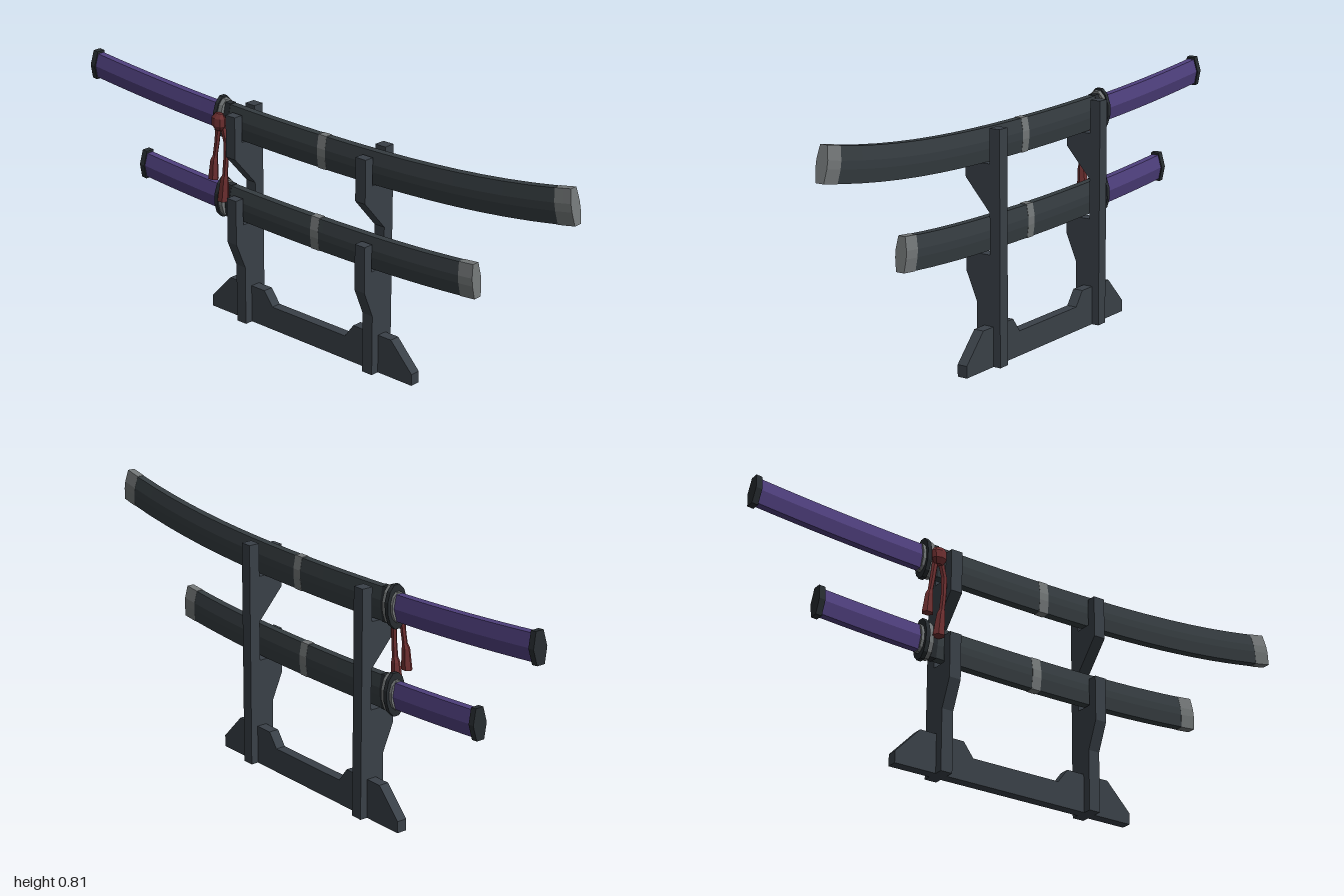
import * as THREE from 'three';

const mat = (name, color, flat = true) => {
  const m = new THREE.MeshStandardMaterial({ color, flatShading: flat });
  m.name = name;
  return m;
};

// Skin a list of equal-length rings of points and close both ends
function loft(rings) {
  const pos = [];
  const tri = (...p) => p.forEach((v) => pos.push(v.x, v.y, v.z));
  const n = rings[0].length, last = rings[rings.length - 1];
  for (let i = 0; i < rings.length - 1; i++) {
    for (let j = 0; j < n; j++) {
      const k = (j + 1) % n;
      tri(rings[i][j], rings[i][k], rings[i + 1][k]);
      tri(rings[i][j], rings[i + 1][k], rings[i + 1][j]);
    }
  }
  for (let j = 1; j < n - 1; j++) {
    tri(last[0], last[j], last[j + 1]);
    tri(rings[0][0], rings[0][j + 1], rings[0][j]);
  }
  const g = new THREE.BufferGeometry();
  g.setAttribute('position', new THREE.Float32BufferAttribute(pos, 3));
  g.computeVertexNormals();
  return g;
}

// Curvature of the swords along x
const rise = (x) => (x > 0 ? 0.03 * x * x + 0.05 * x ** 3 : 0.05 * x * x);
const slope = (x) => (x > 0 ? 0.06 * x + 0.15 * x * x : 0.1 * x);
const SWORD_Z = 0.004;

// Cross-sections as [up, z], from the top round to the front
const SCABBARD = [[0.0525, 0.012], [0.012, 0.0195], [-0.012, 0.0195], [-0.0525, 0.014],
  [-0.0525, -0.014], [-0.012, -0.0195], [0.012, -0.0195], [0.0525, -0.012]];
const HANDLE = [[0.0415, 0.012], [0, 0.022], [-0.0415, 0.012],
  [-0.0415, -0.012], [0, -0.022], [0.0415, -0.012]];
const oval = (h, w, n = 12) => Array.from({ length: n }, (_, i) => {
  const a = ((i + 0.5) / n) * Math.PI * 2;
  return [h * Math.cos(a), w * Math.sin(a)];
});
const scaled = (section, s) => section.map(([u, z]) => [u * s, z * s]);

// Sweep a section along the sword curve between two x positions
function sweep(section, x0, x1, y0, steps = 1) {
  const rings = [];
  for (let i = 0; i <= steps; i++) {
    const x = x0 + ((x1 - x0) * i) / steps, a = Math.atan(slope(x));
    rings.push(section.map(([u, z]) => new THREE.Vector3(
      x - Math.sin(a) * u, y0 + rise(x) + Math.cos(a) * u, SWORD_Z + z)));
  }
  return loft(rings);
}

// Hanging cord: rows of [x, y, z, half width, half depth] from top to bottom
function cord(rows, n = 6) {
  return loft(rows.map(([x, y, z, w, d]) => Array.from({ length: n }, (_, i) => {
    const a = (i / n) * Math.PI * 2;
    return new THREE.Vector3(x + w * Math.cos(a), y, z + d * Math.sin(a));
  })));
}

function polygon(points) {
  return new THREE.Shape(points.map(([x, y]) => new THREE.Vector2(x, y)));
}

export function createModel() {
  const wood = mat('standWood', 0x394047);
  const lacquer = mat('scabbardLacquer', 0x353c40);
  const metal = mat('greyMetal', 0x727677);
  const dark = mat('darkMetal', 0x262b2f);
  const purple = mat('purpleWrap', 0x4e3f7c);
  const red = mat('redCord', 0x6d2f30);

  const model = new THREE.Group();
  model.name = 'swordStand';
  const add = (parent, name, geometry, material) => {
    const m = new THREE.Mesh(geometry, material);
    m.name = name;
    parent.add(m);
    return m;
  };

  // Stand: base board and two notched posts
  const stand = new THREE.Group();
  stand.name = 'stand';
  model.add(stand);
  const board = new THREE.ExtrudeGeometry(polygon([
    [-0.47, 0], [0.395, 0], [0.395, 0.038], [0.31, 0.127], [0.155, 0.127], [0.12, 0.08],
    [-0.195, 0.08], [-0.23, 0.127], [-0.385, 0.127], [-0.47, 0.038],
  ]), { depth: 0.034, bevelEnabled: false });
  board.translate(0, 0, -0.042);
  add(stand, 'baseBoard', board, wood);

  const post = new THREE.ExtrudeGeometry(polygon([
    [0.02, 0], [0.02, 0.2], [0.058, 0.29], [0.058, 0.44], [0.026, 0.44], [0.026, 0.35],
    [-0.03, 0.35], [-0.03, 0.48], [0.058, 0.58], [0.058, 0.72], [0.026, 0.72], [0.026, 0.63],
    [-0.03, 0.63], [-0.03, 0.738], [-0.067, 0.738], [-0.067, 0],
  ]), { depth: 0.04, bevelEnabled: false });
  post.rotateY(-Math.PI / 2);
  post.translate(0.02, 0, 0);
  for (const [name, x] of [['rightPost', -0.308], ['leftPost', 0.238]]) {
    add(stand, name, post, wood).position.x = x;
  }

  // Swords: handle, guard, scabbard, band and end cap
  const sword = (name, y, handleEnd, tip, cap, band) => {
    const g = new THREE.Group();
    g.name = name;
    model.add(g);
    add(g, 'pommel', sweep(scaled(HANDLE, 1.18), handleEnd, handleEnd + 0.02, y), dark);
    add(g, 'handle', sweep(HANDLE, handleEnd + 0.02, -0.405, y, 8), purple);
    add(g, 'handleCollar', sweep(oval(0.048, 0.028), -0.412, -0.402, y), metal);
    add(g, 'guard', sweep(oval(0.07, 0.038), -0.402, -0.388, y), dark);
    add(g, 'guardPlate', sweep(oval(0.064, 0.034), -0.388, -0.372, y), metal);
    add(g, 'scabbardMouth', sweep(scaled(SCABBARD, 1.04), -0.372, -0.35, y), dark);
    add(g, 'scabbard', sweep(SCABBARD, -0.35, cap, y, 14), lacquer);
    add(g, 'scabbardBand', sweep(scaled(SCABBARD, 1.03), band, band + 0.033, y), metal);
    add(g, 'endCap', sweep(scaled(SCABBARD, 1.02), cap, tip, y, 2), metal);
  };
  sword('longSword', 0.681, -0.992, 0.982, 0.925, 0.03);
  sword('shortSword', 0.406, -0.765, 0.645, 0.592, 0.001);

  // Red cord: knot and two tasselled strands
  const tassel = new THREE.Group();
  tassel.name = 'tassel';
  model.add(tassel);
  add(tassel, 'knot', cord([
    [-0.366, 0.715, 0.048, 0.016, 0.008], [-0.368, 0.7, 0.05, 0.027, 0.017],
    [-0.368, 0.675, 0.05, 0.026, 0.018], [-0.368, 0.658, 0.046, 0.015, 0.01],
  ], 8), red);
  add(tassel, 'rightStrand', cord([
    [-0.375, 0.68, 0.042, 0.011, 0.009], [-0.385, 0.61, 0.042, 0.01, 0.008],
    [-0.393, 0.565, 0.043, 0.009, 0.008], [-0.397, 0.55, 0.044, 0.014, 0.012],
    [-0.402, 0.485, 0.044, 0.02, 0.016],
  ]), red);
  add(tassel, 'leftStrand', cord([
    [-0.358, 0.68, 0.042, 0.011, 0.009], [-0.343, 0.62, 0.042, 0.011, 0.008],
    [-0.345, 0.56, 0.043, 0.01, 0.008], [-0.35, 0.51, 0.043, 0.01, 0.009],
    [-0.353, 0.495, 0.043, 0.015, 0.013], [-0.36, 0.42, 0.043, 0.021, 0.019],
  ]), red);

  return model;
}
